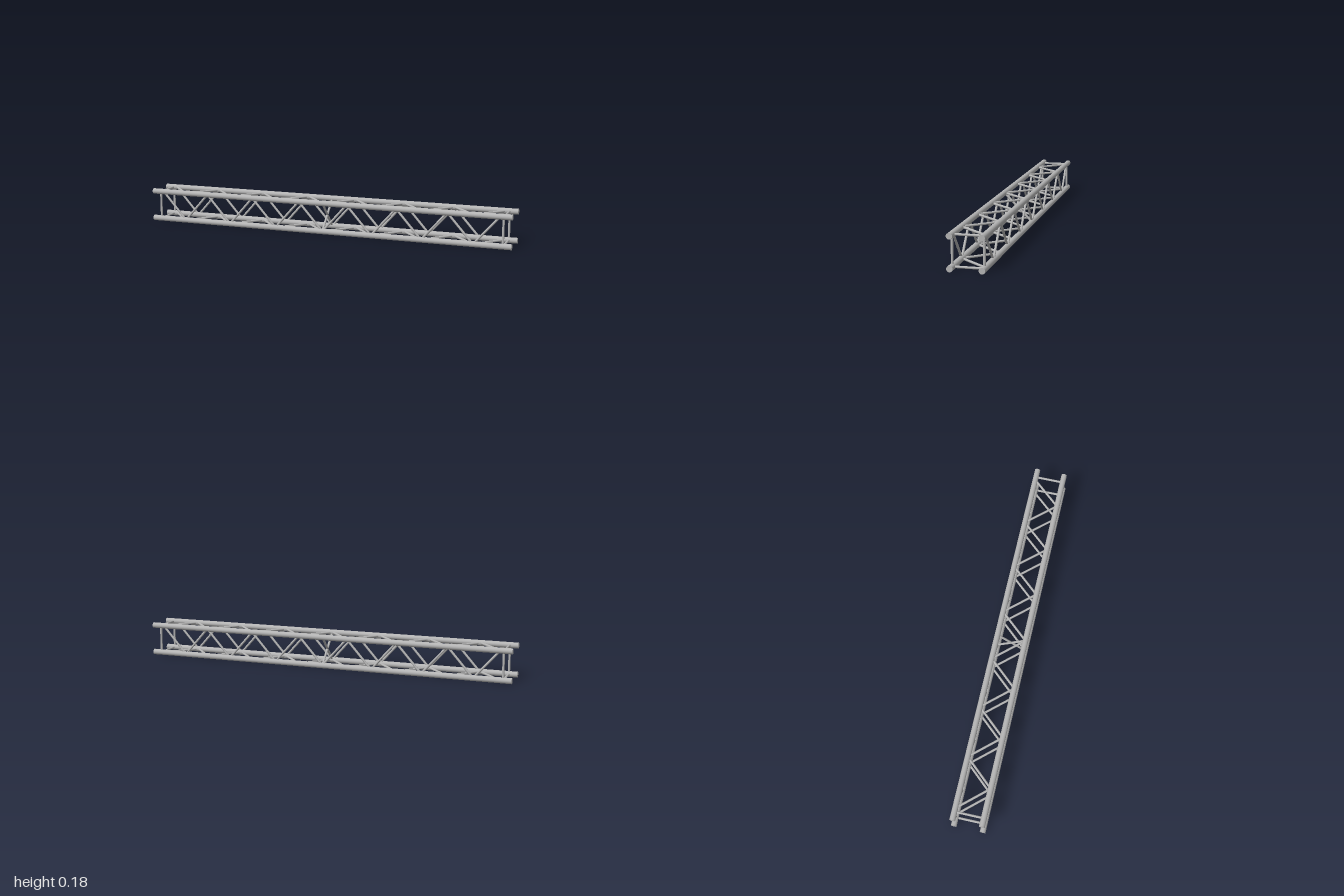
import * as THREE from 'three';

const R = 0.015;        // chord radius
const r = 0.006;        // brace radius
const H = 0.075;        // half spacing between chords
const CY = H + R;       // height of the truss axis
const NODE = 0.134;     // spacing of the zigzag nodes along x
const END = 0.955;      // position of the end frames

export function createModel() {
  const truss = new THREE.Group();
  truss.name = 'boxTruss';
  const metal = new THREE.MeshStandardMaterial({ color: 0xb4b4b4 });
  metal.name = 'aluminium grey';

  // Round bar between two points
  function bar(name, a, b, radius, sides, parent) {
    const dir = b.clone().sub(a);
    const mesh = new THREE.Mesh(new THREE.CylinderGeometry(radius, radius, dir.length(), sides), metal);
    mesh.name = name;
    mesh.position.copy(a).add(b).multiplyScalar(0.5);
    mesh.quaternion.setFromUnitVectors(new THREE.Vector3(0, 1, 0), dir.normalize());
    parent.add(mesh);
  }
  const at = (x, v, z) => new THREE.Vector3(x, CY + v, z);

  // Four main chords
  for (const v of [-H, H]) for (const z of [-H, H])
    bar('chord', at(-1, v, z), at(1, v, z), R, 32, truss);

  // Each face maps (x, across) to a point; across = +1 is the outer zigzag node
  const faces = {
    frontLacing: (x, s) => at(x, s * H, H),
    backLacing: (x, s) => at(x, s * H, -H),
    topLacing: (x, s) => at(x, H, -s * H),
    bottomLacing: (x, s) => at(x, -H, -s * H),
  };
  for (const [name, p] of Object.entries(faces)) {
    const face = new THREE.Group();
    face.name = name;
    // Zigzag diagonals
    for (let i = -7; i < 7; i++) {
      const s = i % 2 ? 1 : -1;
      bar('diagonalBrace', p(i * NODE, s), p((i + 1) * NODE, -s), r, 16, face);
    }
    // End frame bars
    for (const x of [-END, END]) bar('endBar', p(x, -1), p(x, 1), r, 16, face);
    truss.add(face);
  }

  // Cross brace inside the middle of the truss
  for (const s of [-1, 1])
    bar('crossBrace', at(0, -H, -s * H), at(0, H, s * H), r, 16, truss);

  return truss;
}
